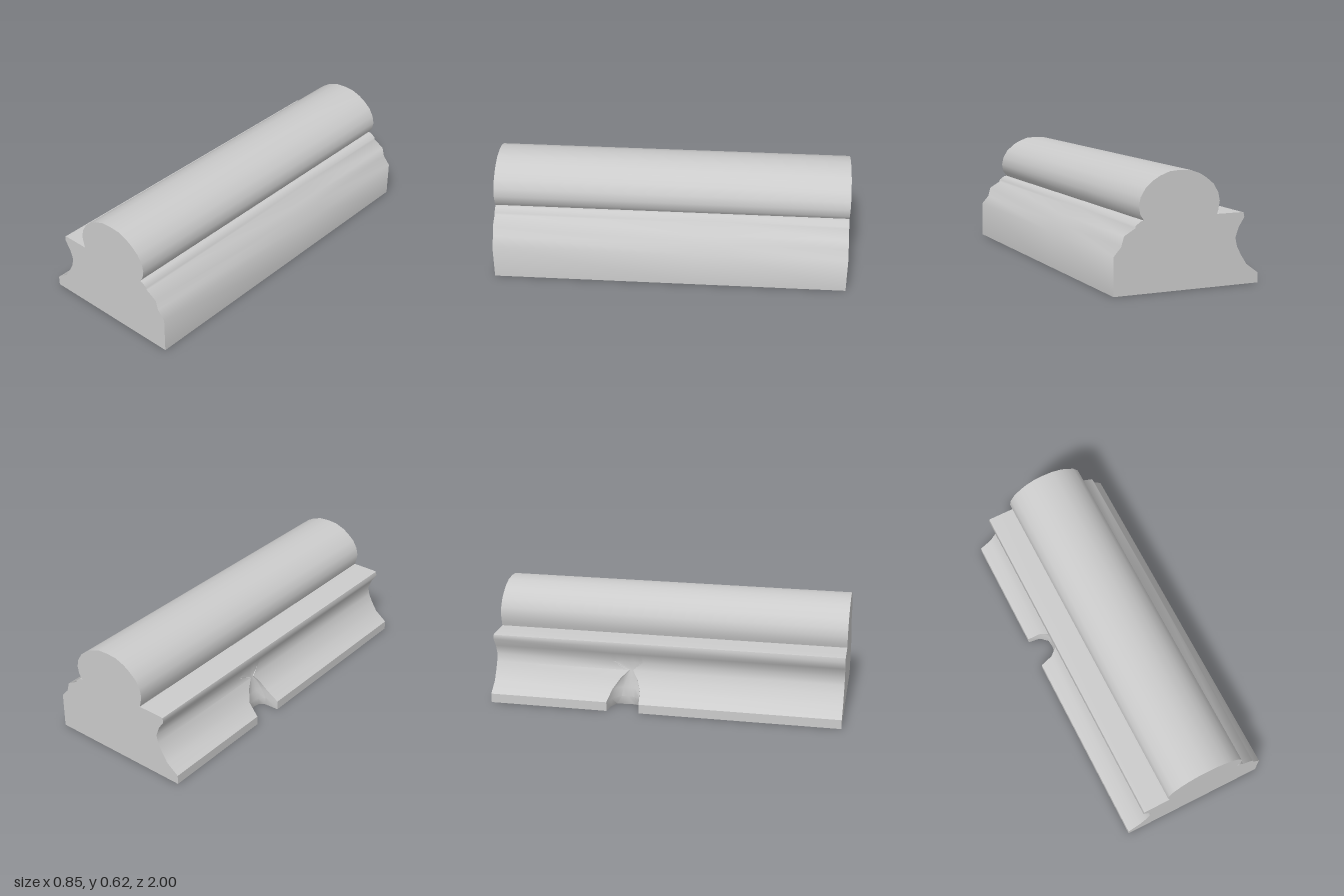
import * as THREE from 'three';
import { toCreasedNormals } from 'three/addons/utils/BufferGeometryUtils.js';

// Moulding cross-section, clockwise from the lower left corner
const PROFILE = [
  [-0.42, 0], [-0.42, 0.053], [-0.349, 0.105], [-0.313, 0.16], [-0.29, 0.205],
  [-0.28, 0.25], [-0.299, 0.305], [-0.332, 0.355], [-0.327, 0.38], [-0.31, 0.382],
  [-0.169, 0.382], [-0.176, 0.405], [-0.184, 0.45], [-0.174, 0.495], [-0.147, 0.54],
  [-0.104, 0.575], [-0.069, 0.597], [-0.014, 0.617], [0.046, 0.621], [0.106, 0.617],
  [0.161, 0.597], [0.196, 0.577], [0.241, 0.54], [0.269, 0.495], [0.279, 0.45],
  [0.271, 0.405], [0.249, 0.375], [0.266, 0.373], [0.296, 0.352], [0.298, 0.34],
  [0.361, 0.303], [0.376, 0.25], [0.418, 0.203], [0.418, 0],
];
const SKEW = 0.004; // the length runs very slightly sideways

// Chip in the left foot: stations across it [position, depth], and half width and centre per row
const CHIP = [[-1, 0], [-0.8, 0.5], [-0.3, 0.95], [0.1, 1], [0.5, 0.95], [0.9, 0.7], [1, 0]];
const CHIP_WIDTH = [0.093, 0.093, 0.08, 0.05, 0.012];
const CHIP_CENTRE = [-0.228, -0.228, -0.222, -0.212, -0.205];
const CHIP_FLOOR = [-0.3, -0.31, -0.3, -0.292, -0.284];

// One lengthwise row of points, dented where the chip crosses it
function makeRow([x, y], i) {
  const chipped = i < CHIP_WIDTH.length;
  const width = chipped ? CHIP_WIDTH[i] : 0.093;
  const centre = chipped ? CHIP_CENTRE[i] : -0.228;
  const row = [[x, -1]];
  for (const [s, depth] of CHIP) {
    const t = i === 0 ? Math.sign(s) * Math.abs(s) ** 0.4 : s; // squarer at the base
    row.push([chipped ? x + (CHIP_FLOOR[i] - x) * depth : x, centre + t * width]);
  }
  row.push([x, 1]);
  return row.map(([px, z]) => [px + SKEW * z, y, z]);
}

// Skin swept along the length, closed underneath
function makeSkin() {
  const rows = PROFILE.map(makeRow);
  const cols = rows[0].length;
  const index = [];
  for (let i = 0; i < rows.length; i++) {
    const next = (i + 1) % rows.length;
    for (let j = 0; j < cols - 1; j++) {
      const a = i * cols + j, b = next * cols + j;
      index.push(a, a + 1, b, b, a + 1, b + 1);
    }
  }
  const geometry = new THREE.BufferGeometry();
  geometry.setAttribute('position', new THREE.Float32BufferAttribute(rows.flat(2), 3));
  geometry.setIndex(index);
  return toCreasedNormals(geometry, 0.9);
}

// Flat end; side is 1 for the front and -1 for the back
function makeEnd(side) {
  const points = PROFILE.map(([x, y]) => new THREE.Vector2(side * x + SKEW, y));
  const geometry = new THREE.ShapeGeometry(new THREE.Shape(points));
  if (side < 0) geometry.rotateY(Math.PI);
  return geometry.translate(0, 0, side);
}

export function createModel() {
  const group = new THREE.Group();
  group.name = 'moulding';
  const material = new THREE.MeshStandardMaterial({ color: 0xcccccc });
  const add = (name, geometry) => {
    const mesh = new THREE.Mesh(geometry, material);
    mesh.name = name;
    group.add(mesh);
  };
  add('mouldingBody', makeSkin());
  add('frontEnd', makeEnd(1));
  add('backEnd', makeEnd(-1));
  return group;
}
